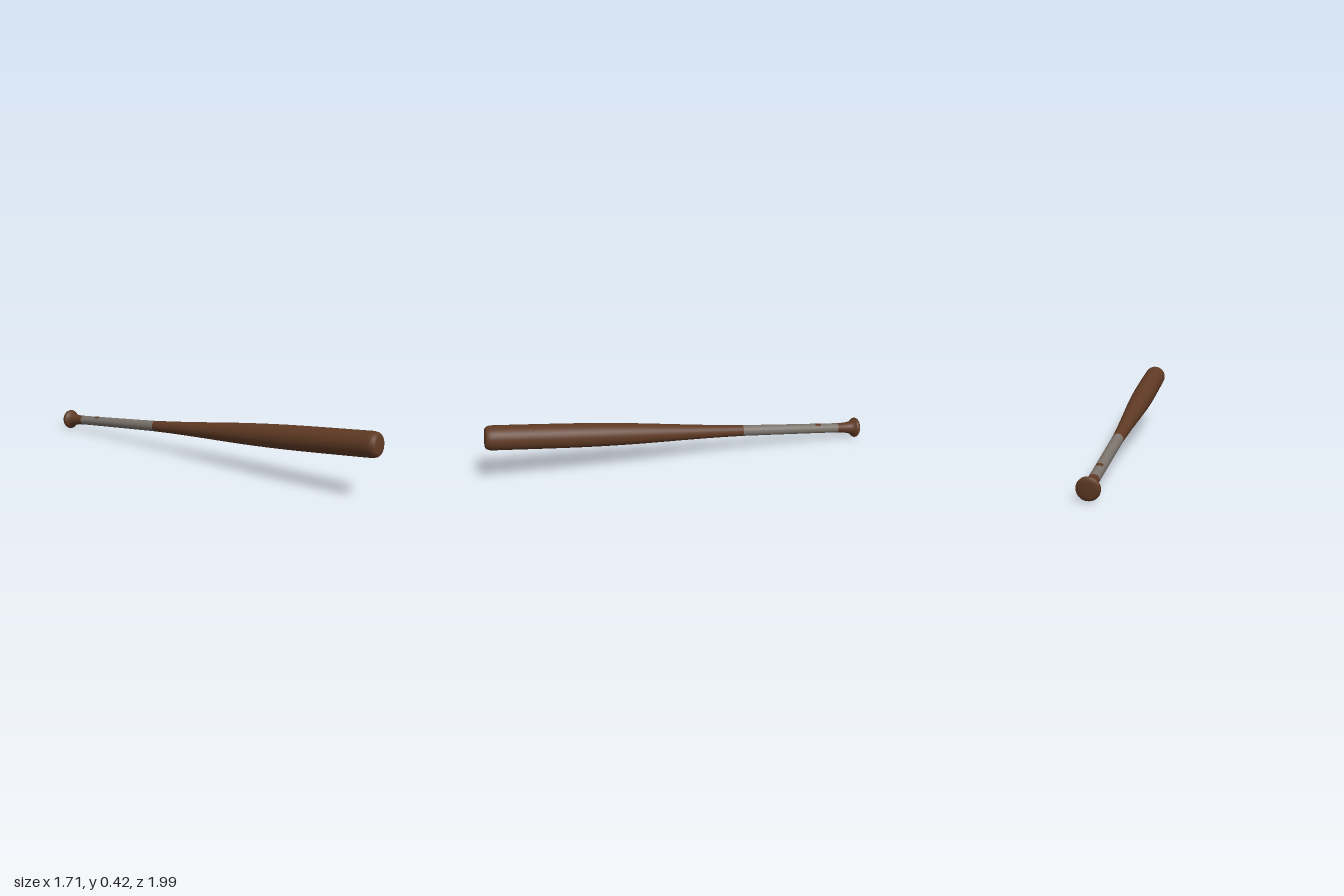
import * as THREE from 'three';

const wood = new THREE.MeshStandardMaterial({ color: 0x5f3a24 });
wood.name = 'brown wood';
const tape = new THREE.MeshStandardMaterial({ color: 0x7b736c });
tape.name = 'grey grip tape';

const SIDES = 40;
const v2 = (p) => new THREE.Vector2(p[0], p[1]);

// Turned part from [radius, distance along the bat] pairs
function turned(name, pairs, material) {
  const mesh = new THREE.Mesh(new THREE.LatheGeometry(pairs.map(v2), SIDES), material);
  mesh.name = name;
  return mesh;
}

// Smooth curve through a few profile points
function smooth(pairs, steps) {
  return new THREE.SplineCurve(pairs.map(v2)).getPoints(steps).map((p) => [p.x, p.y]);
}

export function createModel() {
  const bat = new THREE.Group();
  bat.name = 'bat';

  // Axis from the knob end to the barrel end
  const start = new THREE.Vector3(-0.81, 0.069, -0.957);
  const end = new THREE.Vector3(0.808, 0.356, 0.954);
  const axis = end.clone().sub(start);
  const length = axis.length();
  axis.normalize();

  // Knob: shallow disc with a rounded rim, flaring out of the handle
  bat.add(turned('knob', [
    [0, -0.012], [0.04, -0.011], [0.056, -0.008], [0.064, -0.002], [0.067, 0.006],
    [0.066, 0.015], [0.061, 0.023], [0.052, 0.031], [0.045, 0.042], [0.039, 0.06],
    [0.035, 0.085], [0.033, 0.11], [0.032, 0.145],
  ], wood));

  // Taped grip
  bat.add(turned('grip', [[0.032, 0.145], [0.0325, 0.32], [0.034, 0.58], [0.036, 0.845]], tape));

  // Barrel: swelling taper, then a rounded, nearly flat end
  bat.add(turned('barrel', [
    ...smooth([
      [0.036, 0.845], [0.042, 1.04], [0.052, 1.265], [0.067, 1.58],
      [0.075, 1.86], [0.077, 2.12], [0.077, length - 0.05],
    ], 30),
    [0.0755, length - 0.03], [0.071, length - 0.014], [0.063, length - 0.004],
    [0.054, length], [0.03, length + 0.002], [0, length + 0.003],
  ], wood));

  bat.quaternion.setFromUnitVectors(new THREE.Vector3(0, 1, 0), axis);
  bat.position.copy(start);

  // Small worn spot on the upper side of the grip
  const up = new THREE.Vector3(0, 1, 0).applyQuaternion(bat.quaternion.clone().invert());
  const middle = Math.atan2(up.x, up.z);
  const spot = new THREE.Mesh(new THREE.LatheGeometry(
    [[0.0333, 0.275], [0.0334, 0.315]].map(v2), 10, middle - 0.65, 1.3), wood);
  spot.name = 'wornSpot';
  bat.add(spot);

  const model = new THREE.Group();
  model.name = 'model';
  model.add(bat);
  return model;
}
